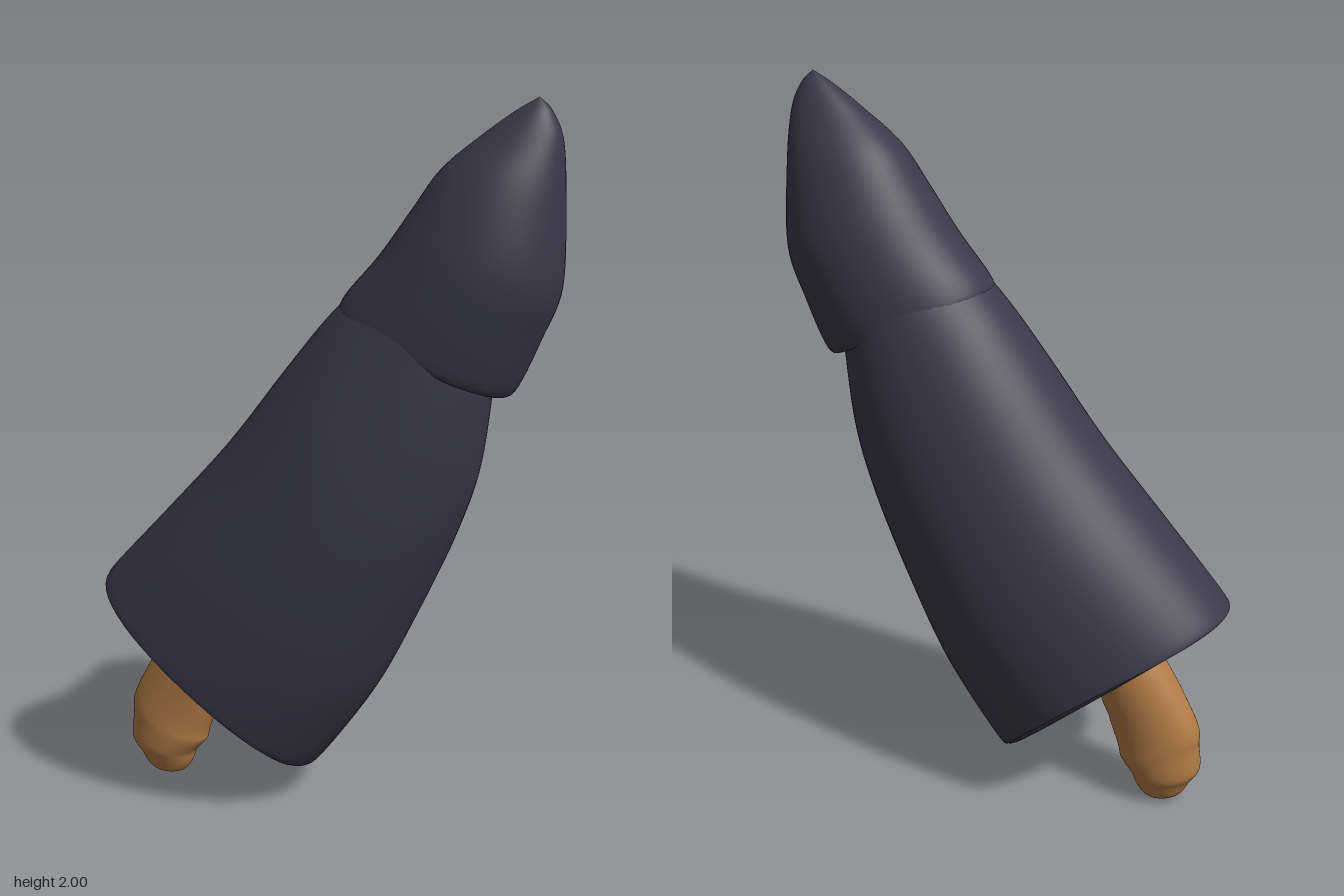
import * as THREE from 'three';

const SIDES = 56;

// Skin elliptical sections [leftX, leftY, rightX, rightY, halfDepth], listed along the part.
// lift(a, t) pushes points along the leaning axis of the model.
function loft(sections, steps, lift = () => 0) {
  const left = new THREE.CatmullRomCurve3(
    sections.map(s => new THREE.Vector3(s[0], s[1], s[4])), false, 'catmullrom', 0.5);
  const right = new THREE.CatmullRomCurve3(
    sections.map(s => new THREE.Vector3(s[2], s[3], s[4])), false, 'catmullrom', 0.5);
  const pos = [], index = [];
  for (let i = 0; i <= steps; i++) {
    const t = i / steps, l = left.getPoint(t), r = right.getPoint(t);
    for (let j = 0; j < SIDES; j++) {
      const a = j / SIDES * Math.PI * 2, k = (1 + Math.cos(a)) / 2, d = lift(a, t);
      pos.push(
        l.x + (r.x - l.x) * k + 0.64 * d,
        l.y + (r.y - l.y) * k + 0.77 * d,
        Math.max(l.z, 0) * Math.sin(a));
      if (i < steps) {
        const n = (j + 1) % SIDES, p = i * SIDES, q = p + SIDES;
        index.push(p + j, q + j, p + n, q + j, q + n, p + n);
      }
    }
  }
  const g = new THREE.BufferGeometry();
  g.setAttribute('position', new THREE.Float32BufferAttribute(pos, 3));
  g.setIndex(index);
  g.computeVertexNormals();
  return g;
}

export function createModel() {
  const group = new THREE.Group();
  const dark = new THREE.MeshStandardMaterial({ color: 0x3a384a });
  dark.name = 'dark slate';
  const tan = new THREE.MeshStandardMaterial({ color: 0xb07a45 });
  tan.name = 'tan brown';
  const add = (name, geometry, material) => {
    const m = new THREE.Mesh(geometry, material);
    m.name = name;
    group.add(m);
  };

  // The rim is notched upward at the front and back
  const notch = a => 0.06 * Math.sin(a) ** 2;

  // Leaning, tapering sleeve
  add('sleeve', loft([
    [-0.645, 0.61, -0.045, 0.10, 0.285],
    [-0.64, 0.645, 0.0, 0.13, 0.295],
    [-0.46, 0.84, 0.16, 0.36, 0.302],
    [-0.27, 1.05, 0.28, 0.60, 0.286],
    [-0.10, 1.27, 0.38, 0.83, 0.262],
    [0.03, 1.43, 0.44, 1.02, 0.23],
    [0.15, 1.54, 0.47, 1.25, 0.195],
    [0.22, 1.60, 0.49, 1.36, 0.16],
  ], 56, (a, t) => notch(a) * Math.max(0, 1 - t * 3)), dark);

  // Hollowed underside of the sleeve
  add('underside', loft([
    [-0.29, 0.42, -0.29, 0.42, 0],
    [-0.46, 0.50, -0.15, 0.26, 0.14],
    [-0.61, 0.59, -0.07, 0.13, 0.25],
    [-0.645, 0.61, -0.045, 0.10, 0.285],
  ], 18, (a, t) => notch(a) * t * t), dark);

  // Pointed hood with a rolled lip overlapping the sleeve
  add('hood', loft([
    [0.12, 1.47, 0.44, 1.28, 0.15],
    [0.055, 1.445, 0.485, 1.24, 0.19],
    [0.07, 1.485, 0.53, 1.24, 0.203],
    [0.16, 1.59, 0.595, 1.38, 0.201],
    [0.245, 1.71, 0.645, 1.52, 0.187],
    [0.32, 1.815, 0.645, 1.74, 0.14],
    [0.42, 1.90, 0.635, 1.89, 0.075],
    [0.51, 1.965, 0.605, 1.965, 0.032],
    [0.57, 2.0, 0.57, 2.0, 0],
  ], 56), dark);

  // Lumpy stub hanging from the underside
  add('stub', loft([
    [-0.48, 0.004, -0.48, 0.004, 0],
    [-0.535, 0.02, -0.43, 0.02, 0.045],
    [-0.585, 0.08, -0.40, 0.08, 0.076],
    [-0.60, 0.17, -0.365, 0.125, 0.086],
    [-0.58, 0.27, -0.34, 0.21, 0.084],
    [-0.525, 0.37, -0.31, 0.28, 0.086],
    [-0.455, 0.47, -0.29, 0.36, 0.09],
    [-0.38, 0.52, -0.25, 0.44, 0.08],
  ], 48, (a, t) => 0.007 * Math.sin(t * 34 + Math.cos(a)) * Math.sin(Math.PI * t)), tan);

  return group;
}
